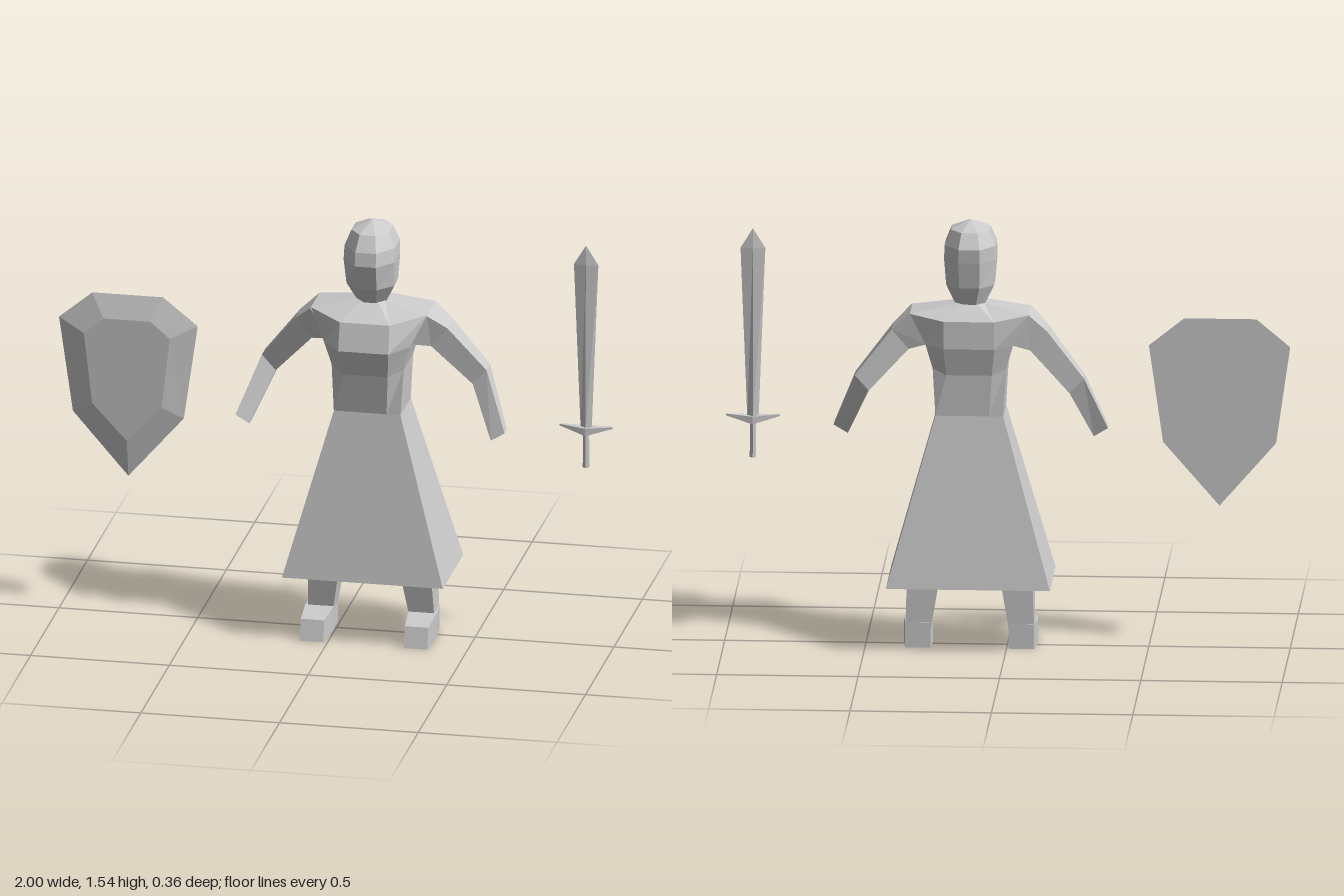
import * as THREE from 'three';

const material = new THREE.MeshStandardMaterial({ color: 0xcccccc, flatShading: true });

// Skin a stack of convex rings (each counter-clockwise about the stacking direction), capped at both ends
function loft(name, rings) {
  const pos = [];
  const tri = (a, b, c) => pos.push(...a, ...b, ...c);
  const n = rings[0].length;
  for (let i = 0; i < rings.length - 1; i++) {
    for (let j = 0; j < n; j++) {
      const k = (j + 1) % n, lo = rings[i], hi = rings[i + 1];
      tri(lo[j], lo[k], hi[k]);
      tri(lo[j], hi[k], hi[j]);
    }
  }
  const first = rings[0], last = rings[rings.length - 1];
  for (let j = 1; j < n - 1; j++) {
    tri(first[0], first[j + 1], first[j]);
    tri(last[0], last[j], last[j + 1]);
  }
  const geo = new THREE.BufferGeometry();
  geo.setAttribute('position', new THREE.Float32BufferAttribute(pos, 3));
  geo.computeVertexNormals();
  const mesh = new THREE.Mesh(geo, material);
  mesh.name = name;
  return mesh;
}

// Mirror rings across x, keeping their winding
const mirror = (rings) => rings.map((r) => r.map(([x, y, z]) => [-x, y, z]).reverse());

// Rectangle ring at height y
const rect = (y, x0, x1, zf, zb) => [[x0, y, zf], [x1, y, zf], [x1, y, zb], [x0, y, zb]];

// Eight-sided torso ring: flat centre panels of half-width c, sides at half-width w
const torsoRing = ([y, ySide, c, w, zf, zfSide, zbSide, zb]) => [
  [-c, y, zf], [c, y, zf], [w, ySide, zfSide], [w, ySide, zbSide],
  [c, y, zb], [-c, y, zb], [-w, ySide, zbSide], [-w, ySide, zfSide],
];

// Eight-sided oval head ring
function headRing([y, w, zf, zb]) {
  const mid = (zf + zb) / 2, half = (zf - zb) / 2, k = 1 / Math.cos(Math.PI / 8);
  return Array.from({ length: 8 }, (_, i) => {
    const a = (i - 0.5) * Math.PI / 4;
    return [Math.sin(a) * w * k, y, mid + Math.cos(a) * half * k];
  });
}

function createFigure() {
  const figure = new THREE.Group();
  figure.name = 'figure';

  // Skirt with a recessed underside
  figure.add(loft('skirt', [
    rect(0.34, -0.24, 0.24, 0.11, -0.11),
    rect(0.24, -0.29, 0.29, 0.18, -0.18),
    rect(0.85, -0.12, 0.12, 0.095, -0.087),
  ]));

  // Torso from waist to neck
  figure.add(loft('torso', [
    [0.85, 0.85, 0.07, 0.12, 0.095, 0.095, -0.087, -0.087],
    [1.0, 1.02, 0.08, 0.13, 0.125, 0.085, -0.08, -0.095],
    [1.1, 1.11, 0.09, 0.155, 0.165, 0.1, -0.09, -0.12],
    [1.2, 1.22, 0.09, 0.21, 0.14, 0.06, -0.09, -0.12],
    [1.25, 1.25, 0.03, 0.05, 0.045, 0.02, -0.04, -0.07],
  ].map(torsoRing)));

  // Head, narrow at the neck and pointed on top
  figure.add(loft('head', [
    [1.235, 0.047, 0.04, -0.06],
    [1.315, 0.085, 0.1, -0.09],
    [1.41, 0.092, 0.13, -0.108],
    [1.46, 0.09, 0.123, -0.114],
    [1.515, 0.068, 0.09, -0.085],
    [1.545, 0.002, 0.004, 0],
  ].map(headRing)));

  // Arms, listed hand to shoulder: outer x, y, inner x, y, front z, back z
  const arm = [
    [0.485, 0.79, 0.435, 0.76, 0.045, 0.005],
    [0.405, 0.995, 0.355, 0.94, -0.03, -0.095],
    [0.275, 1.16, 0.215, 1.09, 0.02, -0.08],
    [0.21, 1.22, 0.15, 1.11, 0.07, -0.09],
  ].map(([xo, yo, xi, yi, zf, zb]) => [[xi, yi, zf], [xo, yo, zf], [xo, yo, zb], [xi, yi, zb]]);
  figure.add(loft('leftArm', arm), loft('rightArm', mirror(arm)));

  // Legs
  const leg = [
    rect(0.07, 0.138, 0.228, 0.025, -0.062),
    rect(0.24, 0.11, 0.222, 0.055, -0.067),
    rect(0.36, 0.09, 0.21, 0.07, -0.07),
  ];
  figure.add(loft('leftLeg', leg), loft('rightLeg', mirror(leg)));

  // Feet, heel to toe along z
  const foot = [[-0.065, 0.138, 0.228, 0.09], [0.025, 0.135, 0.237, 0.09], [0.14, 0.145, 0.23, 0.075]]
    .map(([z, x0, x1, h], i) => {
      const zBase = i === 2 ? 0.16 : z;
      return [[x0, 0, zBase], [x1, 0, zBase], [x1, h, z], [x0, h, z]];
    });
  figure.add(loft('leftFoot', foot), loft('rightFoot', mirror(foot)));
  return figure;
}

// Flat-backed shield with a bevelled front
function createShield() {
  const rim = [[-0.13, 1.195], [-0.25, 1.095], [-0.2, 0.745], [0, 0.515], [0.2, 0.745], [0.25, 1.095], [0.125, 1.195]];
  const face = [[-0.085, 1.11], [-0.155, 1.05], [-0.125, 0.79], [0, 0.655], [0.125, 0.79], [0.155, 1.05], [0.085, 1.11]];
  return loft('shield', [
    rim.map(([x, y]) => [x, y, 0]),
    face.map(([x, y]) => [x, y, 0.028]),
  ]);
}

function createSword() {
  const sword = new THREE.Group();
  sword.name = 'sword';
  const diamond = (y, w, t) => [[0, y, t], [w, y, 0], [0, y, -t], [-w, y, 0]];

  // Blade widening towards the tip
  sword.add(loft('blade', [
    diamond(0.81, 0.02, 0.01), diamond(1.43, 0.044, 0.007), diamond(1.5, 0.001, 0.001),
  ]));

  // Cross guard with raised, tapering ends
  sword.add(loft('guard', [
    [-0.096, 0.823, 0.003, 0.003], [0, 0.806, 0.014, 0.02], [0.096, 0.823, 0.003, 0.003],
  ].map(([x, y, h, t]) => [[x, y - h, t], [x, y - h, -t], [x, y + h, -t], [x, y + h, t]])));

  // Grip
  const grip = new THREE.Mesh(new THREE.CylinderGeometry(0.011, 0.013, 0.13, 6), material);
  grip.name = 'grip';
  grip.position.y = 0.735;
  sword.add(grip);
  return sword;
}

export function createModel() {
  const model = new THREE.Group();
  model.name = 'warrior';
  const figure = createFigure(), shield = createShield(), sword = createSword();
  figure.position.x = 0.13;
  shield.position.x = -0.75;
  sword.position.x = 0.9;
  model.add(figure, shield, sword);
  return model;
}
